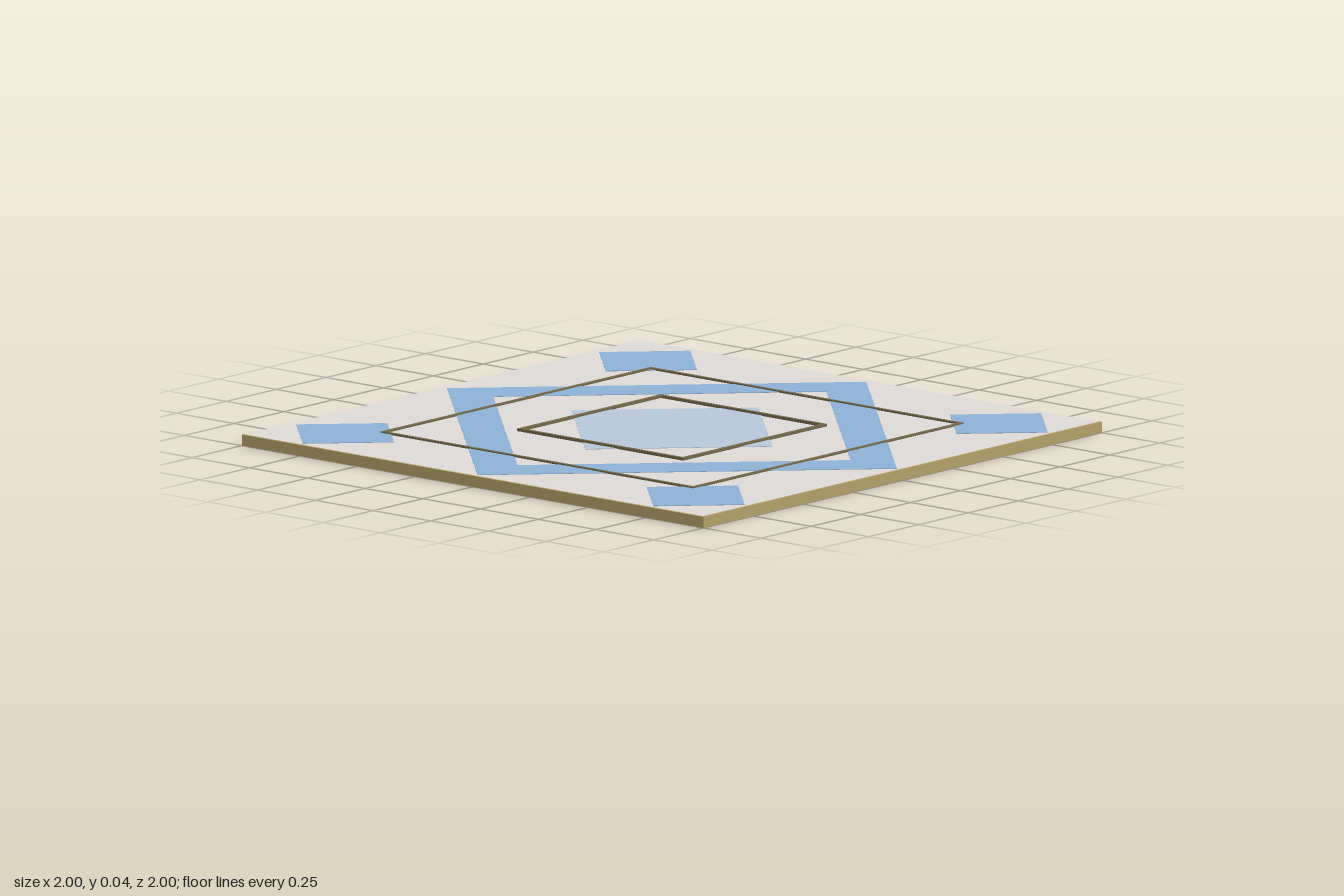
import * as THREE from 'three';

const TOP = 0.035;
const paint = (color) => new THREE.MeshStandardMaterial({ color });

// Square outline with the given half side
function square(h, PathType = THREE.Shape) {
  return new PathType([[-h, -h], [h, -h], [h, h], [-h, h]].map(([x, y]) => new THREE.Vector2(x, y)));
}

// Flat square plate, optionally hollow, lying at height y
function plate(name, half, hole, y, depth, material, turned = false) {
  const shape = square(half);
  if (hole) shape.holes.push(square(hole, THREE.Path));
  const geometry = new THREE.ExtrudeGeometry(shape, { depth, bevelEnabled: false });
  if (turned) geometry.rotateZ(Math.PI / 4);
  geometry.rotateX(-Math.PI / 2);
  const mesh = new THREE.Mesh(geometry, material);
  mesh.name = name;
  mesh.position.y = y;
  return mesh;
}

export function createModel() {
  const model = new THREE.Group();
  model.name = 'patternedTile';

  const stone = paint(0xdedad6);
  const blue = paint(0x8db2d6);
  const paleBlue = paint(0xb7c7da);
  const bronze = paint(0x75694a);
  const gold = paint(0xb5a26a);

  // Slab
  const slab = new THREE.Mesh(new THREE.BoxGeometry(1.99, TOP, 1.99), stone);
  slab.name = 'slab';
  slab.position.set(0.005, TOP / 2, -0.005);
  model.add(slab);

  // Gold edging along the front and the right-hand side
  const edging = new THREE.BoxGeometry(2, TOP + 0.002, 0.01);
  const front = new THREE.Mesh(edging, gold);
  front.name = 'frontEdging';
  front.position.set(0, TOP / 2 + 0.001, 0.995);
  const side = new THREE.Mesh(edging, gold);
  side.name = 'sideEdging';
  side.rotation.y = Math.PI / 2;
  side.position.set(-0.995, TOP / 2 + 0.001, 0);
  model.add(front, side);

  // Inlaid diamonds, sized by the distance from centre to corner
  const s = Math.SQRT1_2;
  model.add(plate('diamondBand', 0.975 * s, 0.775 * s, TOP, 0.002, blue, true));
  model.add(plate('centreDiamond', 0.435 * s, 0, TOP, 0.002, paleBlue, true));
  for (const x of [-0.76, 0.76]) {
    for (const z of [-0.76, 0.76]) {
      const corner = plate('cornerDiamond', 0.212 * s, 0, TOP, 0.002, blue, true);
      corner.position.x = x;
      corner.position.z = z;
      model.add(corner);
    }
  }

  // Raised square line frames
  model.add(plate('outerFrame', 0.678, 0.665, TOP, 0.006, bronze));
  model.add(plate('innerFrame', 0.36, 0.347, TOP, 0.009, bronze));

  return model;
}
